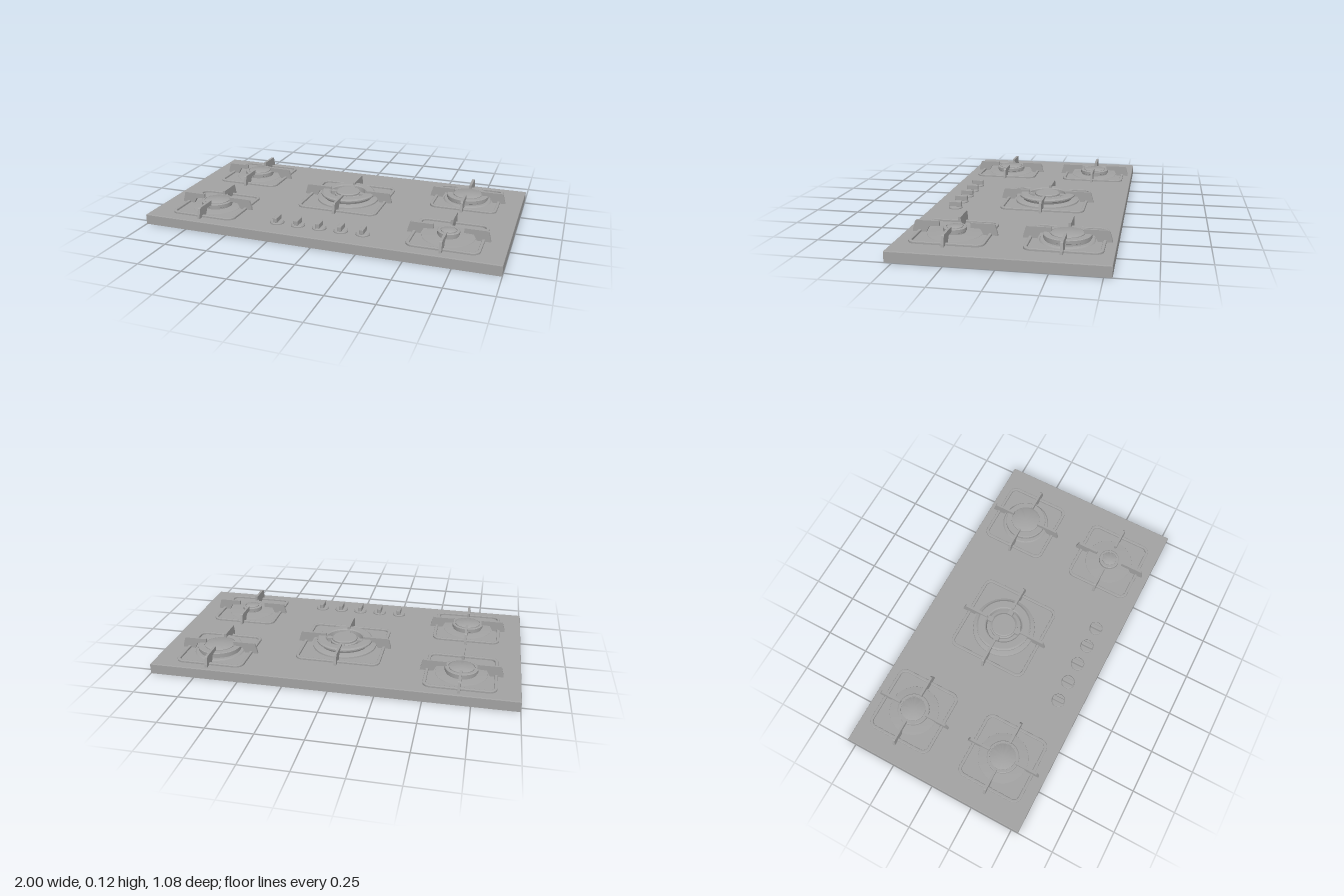
import * as THREE from 'three';
import { toCreasedNormals } from 'three/addons/utils/BufferGeometryUtils.js';

const steel = new THREE.MeshStandardMaterial({ color: 0xa2a2a2 });
steel.name = 'brushed steel';

function add(parent, name, geometry, x = 0, y = 0, z = 0) {
  const mesh = new THREE.Mesh(geometry, steel);
  mesh.name = name;
  mesh.position.set(x, y, z);
  parent.add(mesh);
  return mesh;
}

// Rectangle with rounded corners, centred on the origin
function roundRect(Type, hw, hh, r) {
  const s = new Type();
  s.moveTo(-hw + r, -hh);
  s.lineTo(hw - r, -hh);
  if (r) s.absarc(hw - r, -hh + r, r, -Math.PI / 2, 0);
  s.lineTo(hw, hh - r);
  if (r) s.absarc(hw - r, hh - r, r, 0, Math.PI / 2);
  s.lineTo(-hw + r, hh);
  if (r) s.absarc(-hw + r, hh - r, r, Math.PI / 2, Math.PI);
  s.lineTo(-hw, -hh + r);
  if (r) s.absarc(-hw + r, -hh + r, r, Math.PI, Math.PI * 1.5);
  return s;
}

// Upright extrusion of a flat outline from y0 to y1
function slab(shape, y0, y1, bevel = 0) {
  const g = new THREE.ExtrudeGeometry(shape, {
    depth: y1 - y0 - 2 * bevel, bevelEnabled: bevel > 0, bevelSize: bevel,
    bevelThickness: bevel, bevelOffset: -bevel, bevelSegments: 2, curveSegments: 8,
  });
  g.rotateX(-Math.PI / 2);
  g.translate(0, y0 + bevel, 0);
  return g;
}

function lathe(points) {
  const g = new THREE.LatheGeometry(points.map(([r, y]) => new THREE.Vector2(r, y)), 48);
  return toCreasedNormals(g, 0.5);
}

// Square pan support: rounded bar frame and four upright fins
function makeGrate(half, reach, inner) {
  const grate = new THREE.Group();
  grate.name = 'grate';
  const bar = roundRect(THREE.Shape, half, half, 0.045);
  bar.holes.push(roundRect(THREE.Path, half - 0.017, half - 0.017, 0.03));
  add(grate, 'grateFrame', slab(bar, 0.044, 0.07, 0.004));

  const fin = new THREE.Shape([
    [reach, 0.044], [reach - 0.004, 0.072], [reach - 0.016, 0.113], [reach - 0.022, 0.118],
    [inner, 0.118], [inner, 0.092], [half - 0.06, 0.09], [half - 0.035, 0.044],
  ].map(([x, y]) => new THREE.Vector2(x, y)).reverse());
  const finGeometry = new THREE.ExtrudeGeometry(fin, { depth: 0.014, bevelEnabled: false });
  finGeometry.translate(0, 0, -0.007);
  for (let i = 0; i < 4; i++) {
    add(grate, 'grateFin', finGeometry).rotation.y = i * Math.PI / 2;
  }
  return grate;
}

// Simple burner: shallow base disc, ring body and cap
function makeBurner(body, cap) {
  const burner = new THREE.Group();
  burner.name = 'burner';
  add(burner, 'burnerBase', lathe([[0.142, 0.056], [0.14, 0.0595], [body + 0.012, 0.064], [0, 0.064]]));
  add(burner, 'burnerBody', lathe([
    [body - 0.006, 0.06], [body - 0.006, 0.072], [body, 0.075], [body, 0.092],
    [body - 0.004, 0.095], [cap + 0.004, 0.095], [cap + 0.004, 0.09], [0, 0.09],
  ]));
  add(burner, 'burnerCap', lathe([[cap, 0.088], [cap, 0.096], [cap - 0.006, 0.099], [0, 0.1]]));
  return burner;
}

// Large burner: wide dish, flared flame ring, groove and centre cap
function makeLargeBurner() {
  const burner = new THREE.Group();
  burner.name = 'largeBurner';
  add(burner, 'burnerDish', lathe([[0.184, 0.056], [0.182, 0.066], [0.165, 0.072], [0, 0.072]]));
  add(burner, 'flameRing', lathe([
    [0.14, 0.07], [0.146, 0.084], [0.16, 0.09], [0.16, 0.098], [0.15, 0.105],
    [0.112, 0.105], [0.105, 0.1], [0.1, 0.075],
  ]));
  add(burner, 'centreCap', lathe([[0.08, 0.07], [0.08, 0.09], [0.072, 0.094], [0.072, 0.103], [0.066, 0.107], [0, 0.107]]));
  // Bridges across the groove
  for (let i = 0; i < 4; i++) {
    const a = i * Math.PI / 2;
    const bridge = add(burner, 'grooveBridge', new THREE.BoxGeometry(0.04, 0.022, 0.03),
      Math.cos(a) * 0.092, 0.086, -Math.sin(a) * 0.092);
    bridge.rotation.y = a;
  }
  return burner;
}

// Round control knob with a grip bar running front to back
function makeKnob() {
  const knob = new THREE.Group();
  knob.name = 'knob';
  add(knob, 'knobBase', lathe([[0, 0.047], [0.039, 0.047], [0.039, 0.064], [0.035, 0.07], [0, 0.07]]));
  add(knob, 'knobGrip', slab(roundRect(THREE.Shape, 0.012, 0.035, 0.006), 0.068, 0.097, 0.003));
  return knob;
}

export function createModel() {
  const model = new THREE.Group();
  model.name = 'gasHob';

  // Open-bottomed tray: thin side walls and a top panel
  const wall = roundRect(THREE.Shape, 1, 0.54, 0);
  wall.holes.push(roundRect(THREE.Path, 0.994, 0.534, 0));
  add(model, 'trayWalls', slab(wall, 0, 0.053));
  add(model, 'topPanel', slab(roundRect(THREE.Shape, 1, 0.54, 0), 0.049, 0.058, 0.004));

  // Four corner burners: x, z, body radius, cap radius
  const corners = [
    [-0.684, -0.294, 0.09, 0.068],
    [-0.684, 0.28, 0.09, 0.072],
    [0.682, -0.294, 0.122, 0.084],
    [0.682, 0.28, 0.06, 0.041],
  ];
  for (const [x, z, body, cap] of corners) {
    const grate = makeGrate(0.193, 0.225, 0.082);
    const burner = makeBurner(body, cap);
    grate.position.set(x, 0, z);
    burner.position.set(x, 0, z);
    model.add(grate, burner);
  }

  // Central large burner
  const grate = makeGrate(0.238, 0.273, 0.108);
  const burner = makeLargeBurner();
  grate.position.z = burner.position.z = -0.083;
  model.add(grate, burner);

  // Row of knobs
  for (let i = -2; i <= 2; i++) {
    const knob = makeKnob();
    knob.position.set(i * 0.124, 0, 0.404);
    model.add(knob);
  }
  return model;
}
